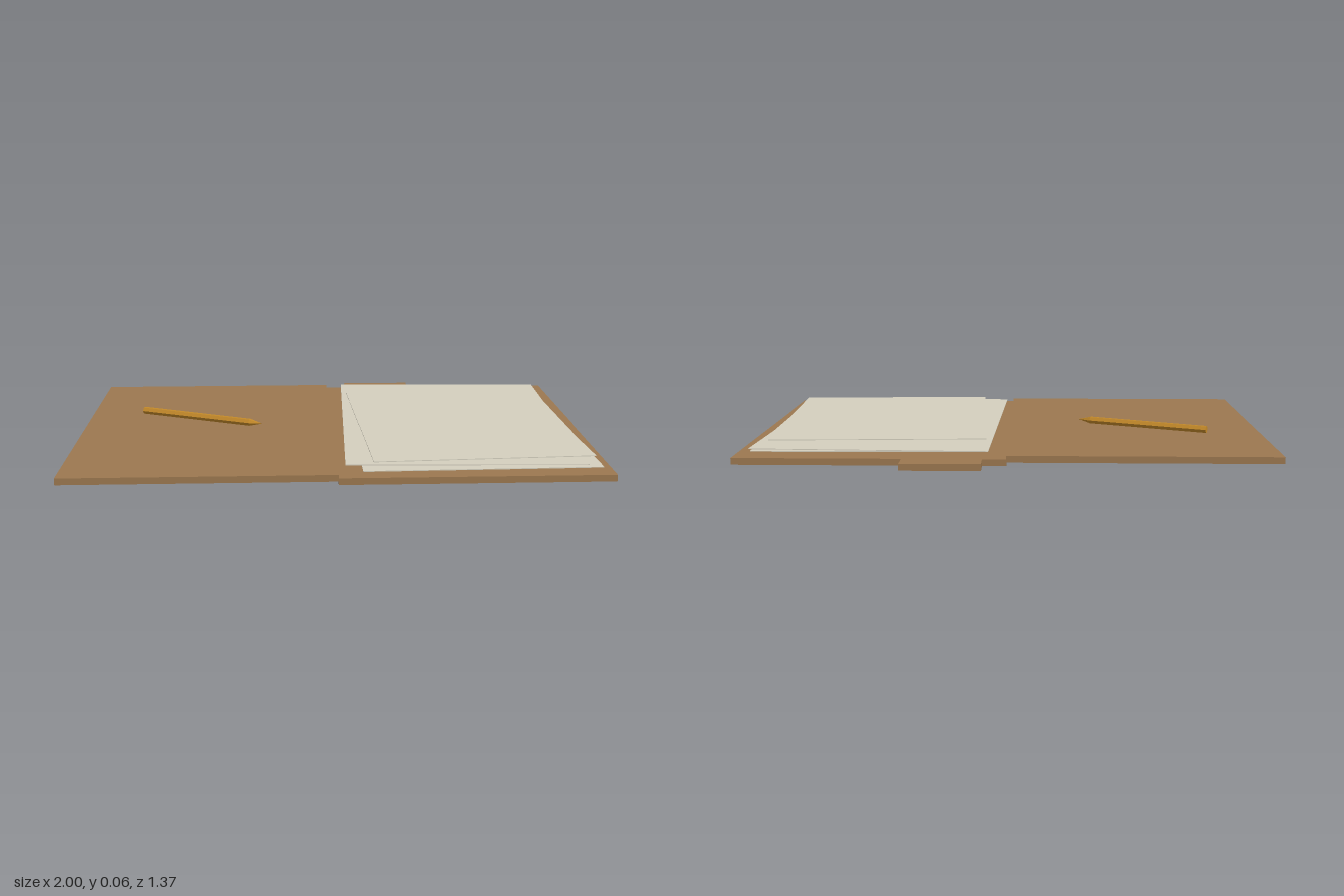
import * as THREE from 'three';

function material(name, color) {
  const m = new THREE.MeshStandardMaterial({ color });
  m.name = name;
  return m;
}

export function createModel() {
  const model = new THREE.Group();
  model.name = 'openFolder';
  const card = material('brown card', 0x9c7850);
  const paper = material('off-white paper', 0xd5d0bf);
  const wood = material('amber pencil', 0xc48a2a);
  wood.flatShading = true;

  function add(name, geometry, mat, x, y, z, parent = model) {
    const mesh = new THREE.Mesh(geometry, mat);
    mesh.name = name;
    mesh.position.set(x, y, z);
    parent.add(mesh);
    return mesh;
  }

  // Back cover and index tab cut as one outline, extruded upwards
  const outline = new THREE.Shape([
    [0, -0.685], [1, -0.685], [1, 0.607], [0.38, 0.607],
    [0.38, 0.688], [0.087, 0.688], [0.087, 0.607], [0, 0.607],
  ].map(([x, y]) => new THREE.Vector2(x, y)));
  const backGeometry = new THREE.ExtrudeGeometry(outline, { depth: 0.025, bevelEnabled: false });
  backGeometry.rotateX(-Math.PI / 2);
  add('backCoverWithTab', backGeometry, card, 0, 0, 0);

  // Front cover, opened flat and slightly higher
  add('frontCover', new THREE.BoxGeometry(1, 0.025, 1.292), card, -0.5, 0.0255, 0.039);

  // Loose sheets: width, length, x, y, z, turn
  const sheets = [
    [0.876, 1.172, 0.517, 0.036, 0.052, 0.0175],
    [0.884, 1.175, 0.489, 0.046, 0.028, -0.033],
    [0.824, 0.998, 0.517, 0.057, 0.083, 0.05],
  ];
  sheets.forEach(([w, l, x, y, z, turn], i) => {
    add(`sheet${i + 1}`, new THREE.BoxGeometry(w, 0.003, l), paper, x, y, z).rotation.y = turn;
  });

  // Six-sided pencil lying on the front cover
  const pencil = new THREE.Group();
  pencil.name = 'pencil';
  pencil.position.set(-0.787, 0.051, -0.152);
  pencil.rotation.y = -0.42;
  model.add(pencil);
  const radius = 0.015, bodyLength = 0.495, tipLength = 0.055;
  const body = new THREE.CylinderGeometry(radius, radius, bodyLength, 6).rotateZ(-Math.PI / 2);
  const tip = new THREE.ConeGeometry(radius, tipLength, 6).rotateZ(-Math.PI / 2);
  add('pencilBody', body, wood, bodyLength / 2, 0, 0, pencil);
  add('pencilTip', tip, wood, bodyLength + tipLength / 2, 0, 0, pencil);

  return model;
}
